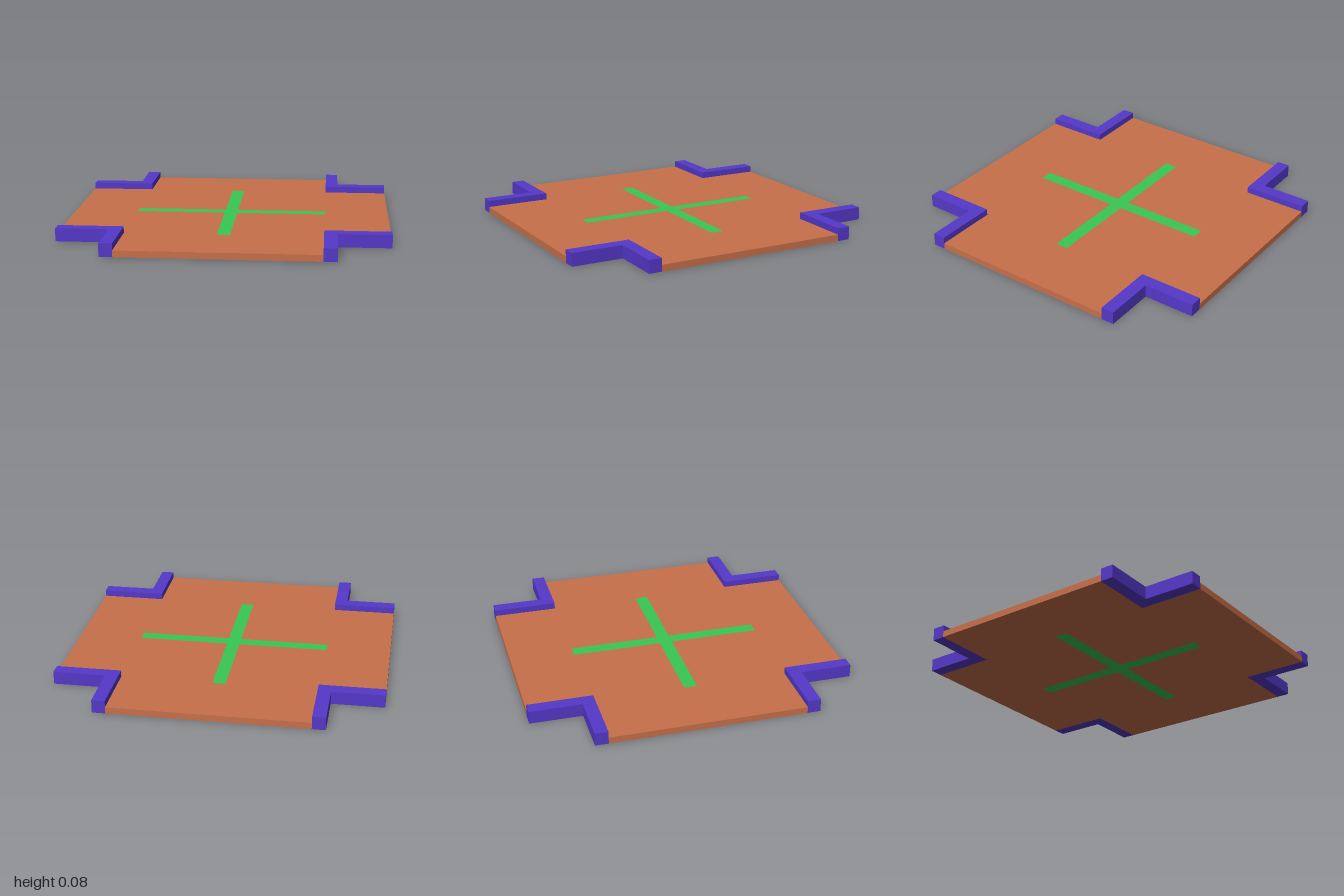
import * as THREE from 'three';

const FLOOR_H = 0.04, CURB_H = 0.08, CURB_W = 0.08;
const HALF = 1, ARM = 0.6, LINE = 0.04;

// Outline of a plus sign: arms reach `r`, arms are `2 * w` wide
function plusPoints(r, w) {
  return [
    [w, w], [w, r], [-w, r], [-w, w], [-r, w], [-r, -w],
    [-w, -w], [-w, -r], [w, -r], [w, -w], [r, -w], [r, w],
  ].map(([x, y]) => new THREE.Vector2(x, y));
}

// Extrude a ground-plan shape upwards from y = 0
function slab(name, shape, height, color) {
  const geometry = new THREE.ExtrudeGeometry(shape, { depth: height, bevelEnabled: false });
  geometry.rotateX(-Math.PI / 2);
  const mesh = new THREE.Mesh(geometry, new THREE.MeshStandardMaterial({ color }));
  mesh.name = name;
  return mesh;
}

export function createModel() {
  const model = new THREE.Group();
  model.name = 'crossroadTile';

  // Plus-shaped floor with a cut-out for the inlaid marking
  const floorShape = new THREE.Shape(plusPoints(HALF, ARM));
  floorShape.holes.push(new THREE.Path(plusPoints(ARM, LINE)));
  model.add(slab('floor', floorShape, FLOOR_H, 0xc8704a));

  // Cross marking, flush with both faces of the floor
  model.add(slab('crossMarking', new THREE.Shape(plusPoints(ARM, LINE)), FLOOR_H, 0x38c854));

  // L-shaped curb in each of the four inner corners
  const outer = ARM + CURB_W;
  const curbShape = new THREE.Shape([
    [ARM, ARM], [HALF, ARM], [HALF, outer], [outer, outer], [outer, HALF], [ARM, HALF],
  ].map(([x, y]) => new THREE.Vector2(x, y)));
  ['BackLeft', 'BackRight', 'FrontRight', 'FrontLeft'].forEach((corner, i) => {
    const curb = slab('curb' + corner, curbShape, CURB_H, 0x5438c8);
    curb.rotation.y = i * Math.PI / 2;
    model.add(curb);
  });

  return model;
}
